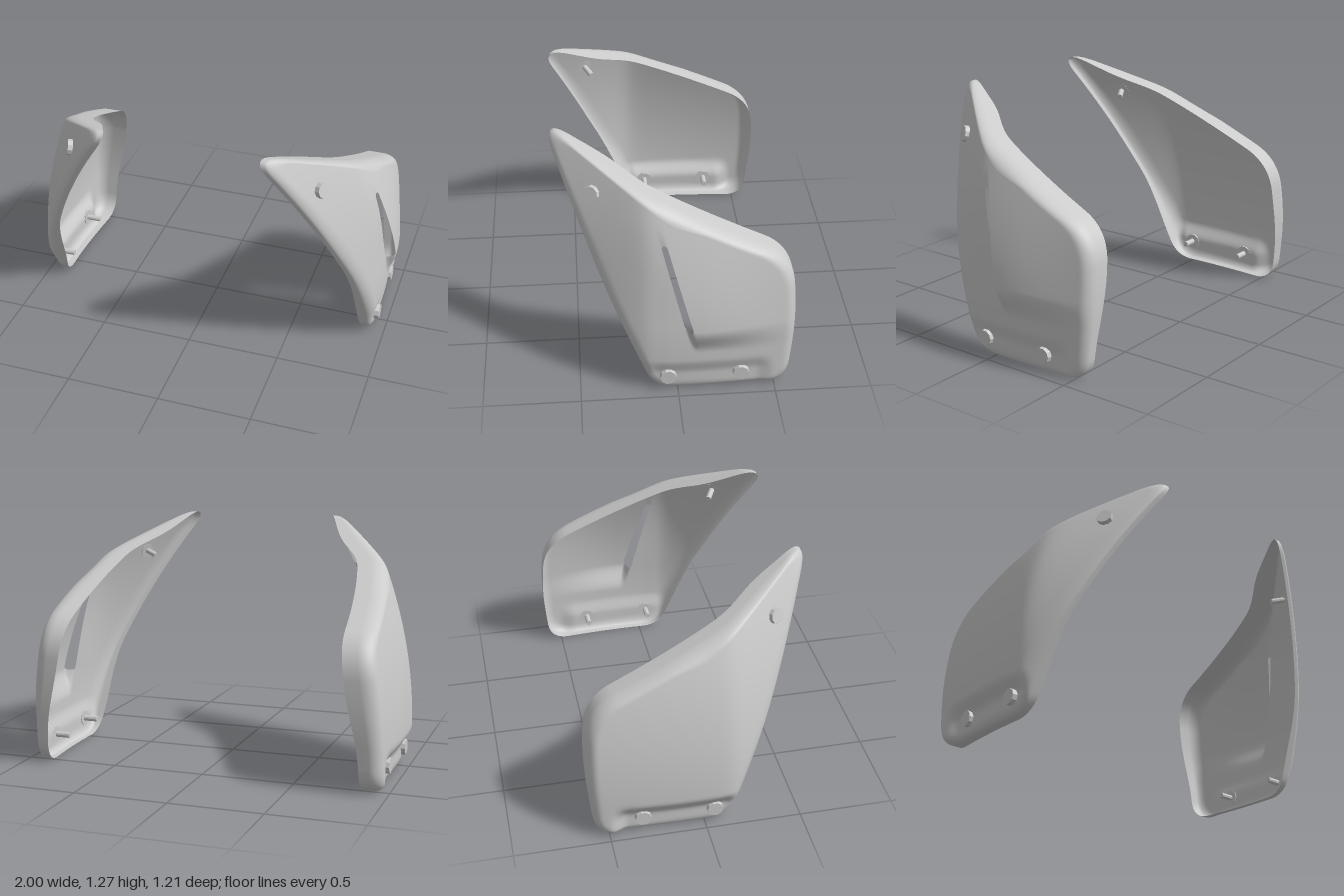
import * as THREE from 'three';

const { smoothstep: step, lerp, clamp } = THREE.MathUtils;
const slotTop = new THREE.Vector2(0.065, 0.855); // 2D points are (z, y)
const slotEnd = new THREE.Vector2(-0.05, 0.42);

// Side outline of a panel: polygon corners [z, y, rounding]
function outlinePoints(count) {
  const c = [
    [0.645, 1.322, 0.16], [0.383, 0.64, 0.1], [0.12, 0, 0.1], [-0.57, 0, 0.12],
    [-0.608, 0.4, 0.15], [-0.585, 0.74, 0.16],
  ];
  const v = c.map(([z, y]) => new THREE.Vector2(z, y));
  const shape = new THREE.Path();
  c.forEach(([, , r], i) => {
    const p = v[i];
    const toward = (q) => p.clone().add(q.clone().sub(p).setLength(r));
    const a = toward(v[(i + c.length - 1) % c.length]);
    const b = toward(v[(i + 1) % c.length]);
    if (i === 0) shape.moveTo(a.x, a.y);
    else shape.lineTo(a.x, a.y);
    shape.quadraticCurveTo(p.x, p.y, b.x, b.y);
  });
  shape.closePath();
  return shape.getSpacedPoints(count).slice(0, count);
}

// Outward distance of the plain curved body at a given depth and height
function body(z, y) {
  const h = z - 0.15;
  return 1 - 0.325 * (h + Math.sqrt(h * h + 0.004))
    - 0.22 * Math.max(0, y - 0.2) ** 2 - 0.1 * Math.min(0, z) ** 2;
}

// Body with the bolt channel and, on one side, the vent lip
function skin(z, y, vented) {
  let x = body(z, y);
  const channel = (1 - step(y, 0.1, 0.2)) * step(z, -0.5, -0.4) * (1 - step(z, 0.1, 0.2));
  x -= (vented ? 0.02 : 0.045) * channel;
  if (vented) {
    // the skin behind the slot stands proud and sinks away towards the rear
    const d = slotTop.clone().sub(slotEnd).normalize();
    const behind = -((z - slotEnd.x) * d.y - (y - slotEnd.y) * d.x);
    const raised = step(behind, -0.018, 0.018) * step(y, 0.25, 0.41) * (1 - step(-z, 0.1, 0.7));
    x += (0.05 * raised - 0.035) * (1 - step(y, 0.42, 1)) * (1 - step(z, 0.08, 0.36));
  }
  return x;
}

// Depth of the inward turned rim: shallow along the upper front edge
function rimDepth(z, y) {
  const fromFront = 0.93 * (0.12 + 0.41 * y - z);
  const upper = lerp(0.05, 0.155, step(fromFront, 0.02, 0.3));
  return lerp(0.11, upper, step(y, 0.1, 0.55));
}

// Rings run from the slot (or the centre) out to the outline, then over the rim
function panelGeometry(side, vented) {
  const N = 200, M = 40, R = 7, inset = 0.055;
  const outline = outlinePoints(N);
  const axis = slotTop.clone().sub(slotEnd);
  const centre = slotTop.clone().add(slotEnd).multiplyScalar(0.5);
  const pos = [], index = [];
  const loops = outline.map((p) => {
    const t = clamp(p.clone().sub(slotEnd).dot(axis) / axis.lengthSq(), 0, 1);
    const anchor = slotEnd.clone().addScaledVector(axis, t);
    const inward = anchor.clone().sub(p).normalize();
    const core = vented ? anchor.addScaledVector(inward, -0.02 + 0.006 * t) : centre;
    return { p, inward, core };
  });
  const ring = (pick, turn) => loops.forEach((loop) => {
    const q = pick(loop), { p } = loop;
    const drop = skin(p.x, p.y, vented) - body(p.x, p.y) + rimDepth(p.x, p.y);
    pos.push(side * (skin(q.x, q.y, vented) - turn * drop), q.y, q.x);
  });
  const pulled = ({ p, inward }, r) => p.clone().addScaledVector(inward, r);
  for (let k = 0; k <= M; k++) {
    ring((loop) => loop.core.clone().lerp(pulled(loop, inset), Math.max(k / M, 0.001)), 0);
  }
  for (let k = 1; k <= R; k++) {
    const a = (k / R) * Math.PI / 2;
    ring((loop) => pulled(loop, inset * (1 - Math.sin(a))), 0.5 * (1 - Math.cos(a)));
  }
  ring(({ p }) => p, 1);
  for (let k = 0; k < M + R + 1; k++) {
    for (let i = 0; i < N; i++) {
      const j = (i + 1) % N;
      const a = k * N + i, b = k * N + j, c = a + N, d = b + N;
      if (side > 0) index.push(a, b, c, b, d, c);
      else index.push(a, c, b, b, c, d);
    }
  }
  if (!vented) {
    // close the tiny centre opening
    const hub = pos.length / 3;
    pos.push(side * skin(centre.x, centre.y, false), centre.y, centre.x);
    for (let i = 0; i < N; i++) index.push(hub, i, (i + 1) % N);
  }
  const g = new THREE.BufferGeometry();
  g.setAttribute('position', new THREE.Float32BufferAttribute(pos, 3));
  g.setIndex(index);
  g.computeVertexNormals();
  return g;
}

export function createModel() {
  const model = new THREE.Group();
  const sheet = new THREE.MeshStandardMaterial({ color: 0xcccccc, side: THREE.DoubleSide });
  const metal = new THREE.MeshStandardMaterial({ color: 0xcccccc, flatShading: true });
  const headGeo = new THREE.CylinderGeometry(0.041, 0.044, 0.026, 10);
  const shankGeo = new THREE.CylinderGeometry(0.016, 0.016, 0.08, 10);

  // Bolt with its head outside and its shank through the panel
  function bolt(name, point, normal) {
    const g = new THREE.Group();
    g.name = name;
    const head = new THREE.Mesh(headGeo, metal);
    head.name = 'boltHead';
    head.position.y = 0.01;
    const shank = new THREE.Mesh(shankGeo, metal);
    shank.name = 'boltShank';
    shank.position.y = -0.042;
    g.add(head, shank);
    g.position.copy(point);
    g.quaternion.setFromUnitVectors(new THREE.Vector3(0, 1, 0), normal.normalize());
    return g;
  }

  for (const side of [1, -1]) {
    const vented = side > 0;
    const half = new THREE.Group();
    half.name = vented ? 'leftFairing' : 'rightFairing';
    const panel = new THREE.Mesh(panelGeometry(side, vented), sheet);
    panel.name = vented ? 'ventedPanel' : 'plainPanel';
    half.add(panel);
    for (const [name, z] of [['lowerFrontBolt', 0.05], ['lowerRearBolt', -0.325]]) {
      const x = skin(z, 0.092, vented);
      half.add(bolt(name, new THREE.Vector3(side * x, 0.092, z), new THREE.Vector3(side, 0, 0)));
    }
    const x = skin(0.405, 1.05, vented);
    half.add(bolt('upperBolt', new THREE.Vector3(side * x, 1.05, 0.405), new THREE.Vector3(side, 0.3, 0.55)));
    model.add(half);
  }
  return model;
}
